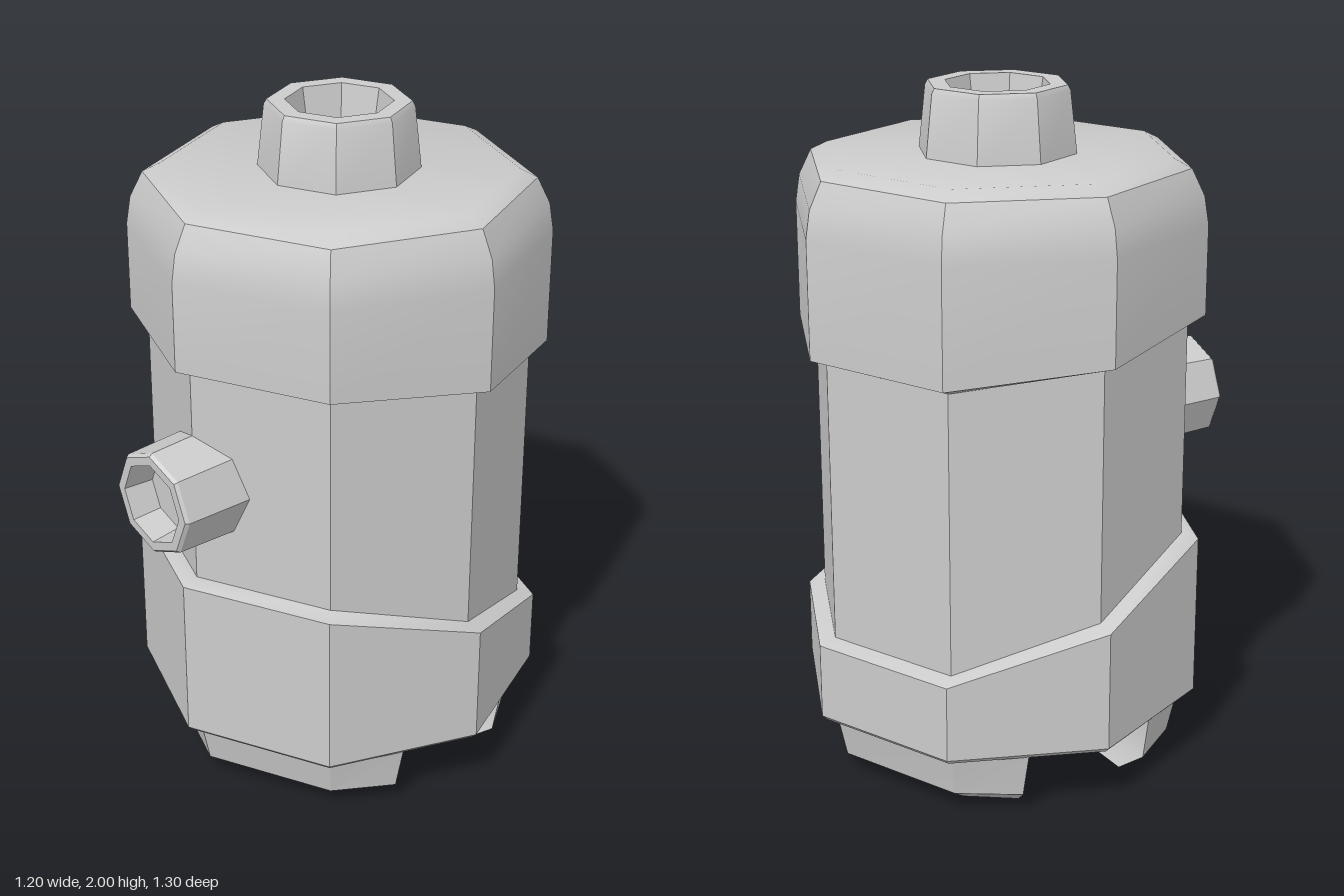
import * as THREE from 'three';
import { toCreasedNormals } from 'three/addons/utils/BufferGeometryUtils.js';

const material = new THREE.MeshStandardMaterial({ color: 0xcccccc });

// Skin a stack of equal-length rings (counter-clockwise from above) and close both ends.
function loft(name, rings) {
  const n = rings[0].length;
  const pos = rings.flat(2);
  const idx = [];
  for (let k = 0; k < rings.length - 1; k++) {
    for (let i = 0; i < n; i++) {
      const j = (i + 1) % n, a = k * n, b = a + n;
      idx.push(a + i, a + j, b + j, a + i, b + j, b + i);
    }
  }
  const last = (rings.length - 1) * n;
  for (let i = 1; i < n - 1; i++) {
    idx.push(0, i + 1, i);
    idx.push(last, last + i, last + i + 1);
  }
  const g = new THREE.BufferGeometry();
  g.setAttribute('position', new THREE.Float32BufferAttribute(pos, 3));
  g.setIndex(idx);
  const mesh = new THREE.Mesh(toCreasedNormals(g, 0.6), material);
  mesh.name = name;
  return mesh;
}

// Octagon with a corner facing forward; slant raises the front side and lowers the back.
function octagon(r, y, slant = 0) {
  return Array.from({ length: 8 }, (_, i) => {
    const a = (i * Math.PI) / 4;
    const t = Math.max(-1, Math.min(1, Math.cos(a) / 0.7));
    return [r * Math.sin(a), y + slant * t, r * Math.cos(a)];
  });
}

const octagonStack = (name, profile) => loft(name, profile.map((p) => octagon(...p)));

// One foot section: flat inner edge beside the slot, octagonal outer edge.
function footSection(y, tip, endX, endZ) {
  const m = tip * Math.SQRT1_2;
  return [[-endX, y, endZ], [-m, y, m], [0, y, tip], [m, y, m], [endX, y, endZ]];
}

export function createModel() {
  const model = new THREE.Group();
  model.name = 'canister';

  // Everything but the spout shares one axis set slightly behind the centre
  const tank = new THREE.Group();
  tank.name = 'tank';
  tank.position.z = -0.05;
  model.add(tank);

  tank.add(octagonStack('body', [[0.55, 0.3], [0.55, 1.6]]));

  // Lower band with a steeply slanted top edge
  tank.add(octagonStack('lowerBand', [
    [0.585, 0.19], [0.6, 0.205], [0.6, 0.56, 0.13], [0.55, 0.575, 0.13],
  ]));

  // Upper cap with a slightly slanted lower edge and a rounded shoulder
  tank.add(octagonStack('upperCap', [
    [0.55, 1.315, 0.045], [0.6, 1.33, 0.04], [0.6, 1.63], [0.587, 1.71],
    [0.55, 1.785], [0.5, 1.81],
  ]));

  // Hollow nozzle on top
  tank.add(octagonStack('topNozzle', [
    [0.23, 1.79], [0.208, 1.985], [0.2, 2], [0.15, 2], [0.13, 1.88],
  ]));

  // Two feet with a slot between them
  for (const [name, turn] of [['frontFoot', 0], ['backFoot', Math.PI]]) {
    const foot = loft(name, [
      footSection(0, 0.43, 0.4, 0.175),
      footSection(0.06, 0.522, 0.476, 0.207),
      footSection(0.2, 0.553, 0.505, 0.205),
    ]);
    foot.rotation.y = turn;
    tank.add(foot);
  }

  // Hollow spout on the front corner
  const spout = octagonStack('frontSpout', [
    [0.163, 0.4], [0.155, 0.64], [0.147, 0.65], [0.12, 0.65], [0.11, 0.56],
  ]);
  spout.rotation.x = Math.PI / 2;
  spout.position.y = 1;
  model.add(spout);

  return model;
}
